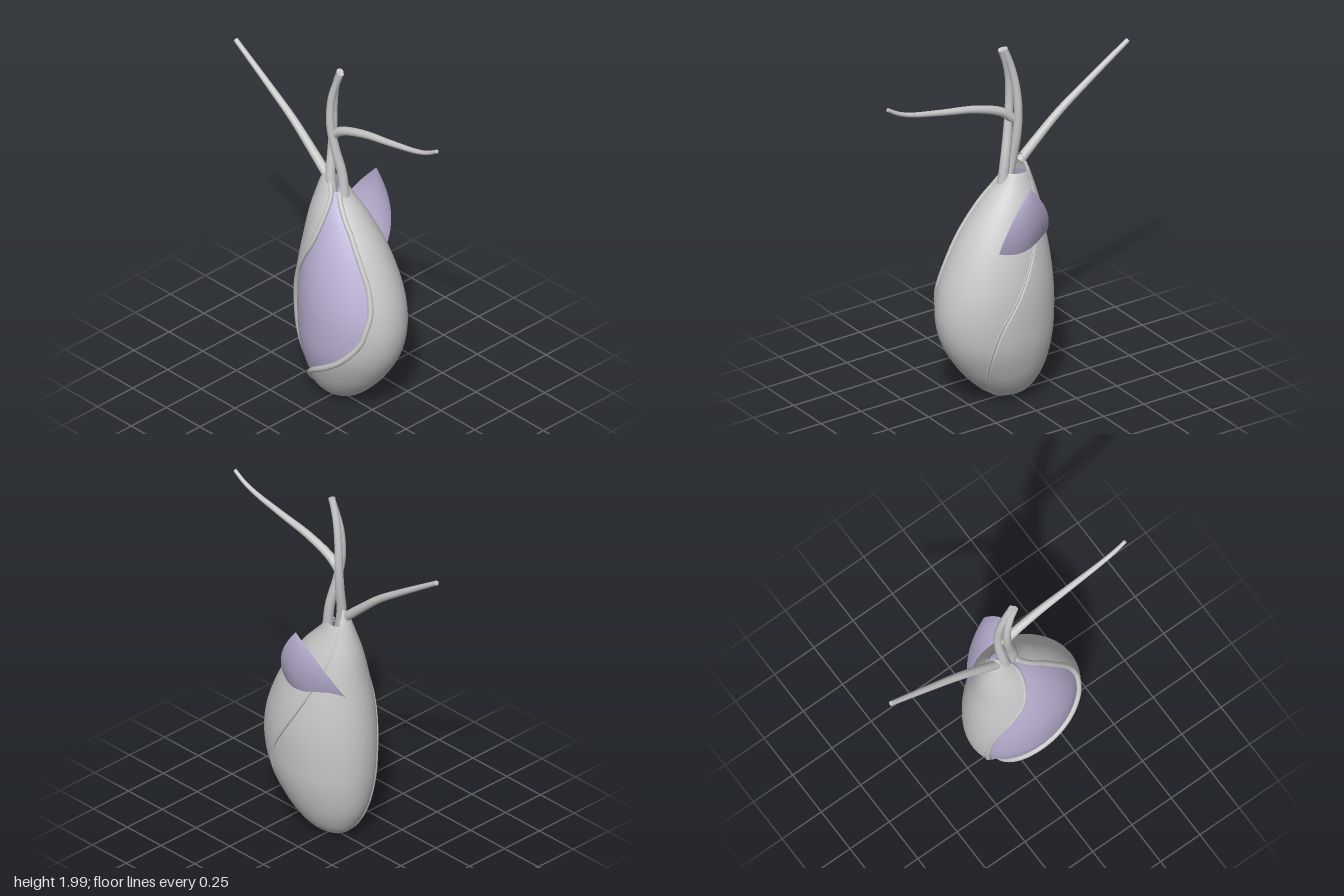
import * as THREE from 'three';

const shellGrey = new THREE.MeshStandardMaterial({ color: 0xc8c8c8, side: THREE.DoubleSide });
shellGrey.name = 'shell grey';
const lilac = new THREE.MeshStandardMaterial({ color: 0xbdb3d6, side: THREE.DoubleSide });
lilac.name = 'lilac';

// Body outline: height, left x, right x, half depth
const BODY = [
  [0, -0.01, 0.01, 0.01], [0.012, -0.065, 0.065, 0.045], [0.04, -0.11, 0.13, 0.09], [0.1, -0.155, 0.205, 0.14],
  [0.2, -0.2, 0.295, 0.19], [0.35, -0.23, 0.385, 0.235], [0.5, -0.238, 0.422, 0.25], [0.65, -0.232, 0.41, 0.25],
  [0.8, -0.215, 0.36, 0.23], [0.95, -0.19, 0.285, 0.193], [1.1, -0.165, 0.18, 0.14], [1.22, -0.132, 0.07, 0.085],
  [1.3, -0.105, 0.01, 0.05], [1.36, -0.075, -0.05, 0.012],
];
// Front edges of the two shells: height, x
const RIGHT_EDGE = [
  [0, -0.005], [0.02, -0.07], [0.05, -0.1], [0.14, -0.07], [0.22, 0.01], [0.3, 0.13], [0.38, 0.235], [0.5, 0.33],
  [0.6, 0.358], [0.7, 0.36], [0.85, 0.31], [1.05, 0.19], [1.2, 0.07], [1.28, 0.02],
];
const LEFT_EDGE = [
  [0, -0.005], [0.02, -0.07], [0.05, -0.105], [0.15, -0.165], [0.3, -0.195], [0.45, -0.2], [0.6, -0.185],
  [0.75, -0.14], [0.87, -0.08], [0.98, -0.02], [1.1, 0.012], [1.22, 0.015], [1.3, -0.02], [1.36, -0.06],
];
// Back seam: height, angle in degrees
const SEAM = [[0, -25], [0.14, -40], [0.3, -55], [0.5, -71], [0.65, -86], [0.86, -105], [1.1, -125], [1.36, -140]];

// Smooth lookup in a table keyed by its first column
function look(rows, y, k) {
  const n = rows.length - 1;
  let i = 0;
  while (i < n - 1 && y > rows[i + 1][0]) i++;
  const slope = (j) => {
    const a = rows[Math.max(j - 1, 0)], b = rows[Math.min(j + 1, n)];
    return (b[k] - a[k]) / (b[0] - a[0]);
  };
  const a = rows[i], b = rows[i + 1], h = b[0] - a[0];
  const s = THREE.MathUtils.clamp((y - a[0]) / h, 0, 1), s2 = s * s, s3 = s2 * s;
  return a[k] * (2 * s3 - 3 * s2 + 1) + b[k] * (3 * s2 - 2 * s3)
    + h * (slope(i) * (s3 - 2 * s2 + s) + slope(i + 1) * (s3 - s2));
}

// Point on the body at a height and angle (0 = +x, 90 degrees = front)
function bodyPoint(y, t, inset = 0) {
  const l = look(BODY, y, 1), r = look(BODY, y, 2), d = look(BODY, y, 3);
  const rx = Math.max((r - l) / 2 - inset, 0.001), rz = Math.max(d - inset, 0.001);
  return new THREE.Vector3((l + r) / 2 + rx * Math.cos(t), y, rz * Math.sin(t));
}

function edgeAngle(rows, y) {
  const l = look(BODY, y, 1), r = look(BODY, y, 2);
  const c = (look(rows, y, 1) - (l + r) / 2) / ((r - l) / 2);
  return Math.acos(THREE.MathUtils.clamp(c, -1, 1));
}
const seamAngle = (y) => THREE.MathUtils.degToRad(look(SEAM, y, 1));
const GAP = 0.035;

// Grid surface from a point function of u and v
function surface(fn, nu, nv) {
  const pos = [], idx = [];
  for (let j = 0; j <= nv; j++) for (let i = 0; i <= nu; i++) pos.push(...fn(i / nu, j / nv).toArray());
  for (let j = 0; j < nv; j++) for (let i = 0; i < nu; i++) {
    const a = j * (nu + 1) + i, b = a + nu + 1;
    idx.push(a, b, a + 1, a + 1, b, b + 1);
  }
  const g = new THREE.BufferGeometry();
  g.setAttribute('position', new THREE.Float32BufferAttribute(pos, 3));
  g.setIndex(idx);
  g.computeVertexNormals();
  return g;
}

// Part of the body between two edge angles
function bodySheet(y0, y1, from, to, inset) {
  return surface((u, v) => {
    const y = y0 + (y1 - y0) * (1 - Math.cos(Math.PI * v)) / 2;
    return bodyPoint(y, THREE.MathUtils.lerp(from(y), to(y), u), inset);
  }, 64, 80);
}

function createModel() {
  const model = new THREE.Group();
  const add = (name, geometry, material) => {
    const mesh = new THREE.Mesh(geometry, material);
    mesh.name = name;
    model.add(mesh);
  };

  // Tapered tube with flat ends
  const addTube = (name, points, r0, r1 = r0, segments = 48) => {
    const curve = new THREE.CatmullRomCurve3(points);
    const g = new THREE.TubeGeometry(curve, segments, 1, 14);
    const p = g.attributes.position, c = new THREE.Vector3(), q = new THREE.Vector3();
    for (let i = 0; i < p.count; i++) {
      const s = Math.floor(i / 15) / segments;
      curve.getPointAt(s, c);
      q.fromBufferAttribute(p, i).sub(c).multiplyScalar(r0 + (r1 - r0) * s).add(c);
      p.setXYZ(i, q.x, q.y, q.z);
    }
    add(name, g, shellGrey);
    for (const [s, r, dir] of [[0, r0, -1], [1, r1, 1]]) {
      const cap = new THREE.CircleGeometry(r, 14);
      cap.lookAt(curve.getTangentAt(s).multiplyScalar(dir));
      const at = curve.getPointAt(s);
      cap.translate(at.x, at.y, at.z);
      add(name + 'End', cap, shellGrey);
    }
  };
  const path = (list) => list.map((a) => new THREE.Vector3(...a));

  // Inner bulb
  add('innerBulb', bodySheet(0.012, 1.25, () => 0, () => Math.PI * 2, 0.014), lilac);

  // Two wrapping shells
  const rightFront = (y) => edgeAngle(RIGHT_EDGE, y);
  const leftFront = (y) => edgeAngle(LEFT_EDGE, y);
  const rightBack = (y) => seamAngle(y) + GAP;
  const leftBack = (y) => seamAngle(y) - GAP + Math.PI * 2;
  add('rightShell', bodySheet(0, 1.28, rightBack, rightFront, 0), shellGrey);
  add('leftShell', bodySheet(0, 1.36, leftFront, leftBack, -0.002), shellGrey);

  // Rolled rims along the shell edges
  const rim = (name, edge, top, r, rEnd) => {
    const pts = [];
    for (let i = 0; i <= 36; i++) {
      const y = 0.02 + (top - 0.02) * i / 36;
      pts.push(bodyPoint(y, edge(y), 0.006));
    }
    addTube(name, pts, r, rEnd, 100);
  };
  rim('rightFrontRim', rightFront, 1.24, 0.016, 0.014);
  rim('leftFrontRim', leftFront, 1.34, 0.014, 0.012);
  rim('rightBackRim', rightBack, 1.26, 0.008, 0.008);
  rim('leftBackRim', leftBack, 1.32, 0.008, 0.008);

  // Pointed petal standing off the back
  const base = new THREE.QuadraticBezierCurve3(...path([[-0.18, 0.89, -0.07], [0.02, 0.9, -0.27], [0.18, 0.91, -0.17]]));
  const tip = new THREE.Vector3(0.03, 1.28, -0.24);
  add('backPetal', surface((u, v) => {
    const p = base.getPoint(u).lerp(tip, v);
    const bulge = 4 * v * (1 - v);
    p.z -= 0.025 * bulge;
    p.x += (u - 0.5) * 0.08 * bulge;
    return p;
  }, 20, 20), lilac);

  // Twisted pair of stems
  addTube('frontStem', path([[0.045, 1.19, 0], [0.025, 1.35, 0.0], [-0.005, 1.5, 0.02], [-0.025, 1.65, 0.036],
    [-0.02, 1.8, 0.033], [0.005, 1.9, 0.025], [0.035, 1.98, 0.02]]), 0.028, 0.018);
  addTube('backStem', path([[-0.01, 1.2, 0.035], [-0.035, 1.33, 0.025], [-0.048, 1.48, 0.0], [-0.05, 1.62, -0.01],
    [-0.04, 1.76, -0.004], [-0.015, 1.88, 0.005], [0.022, 1.985, 0.012]]), 0.028, 0.018);

  // Side tendrils
  addTube('leftTendril', path([[-0.03, 1.57, 0.015], [0.04, 1.625, 0.015], [0.2, 1.683, 0.015], [0.4, 1.722, 0.015],
    [0.6, 1.765, 0.015], [0.68, 1.795, 0.015], [0.745, 1.835, 0.015]]), 0.026, 0.01);
  addTube('rightTendril', path([[-0.075, 1.31, 0.015], [-0.18, 1.405, 0.015], [-0.32, 1.525, 0.015],
    [-0.5, 1.65, 0.015], [-0.75, 1.815, 0.015]]), 0.026, 0.013);

  return model;
}

export { createModel };
